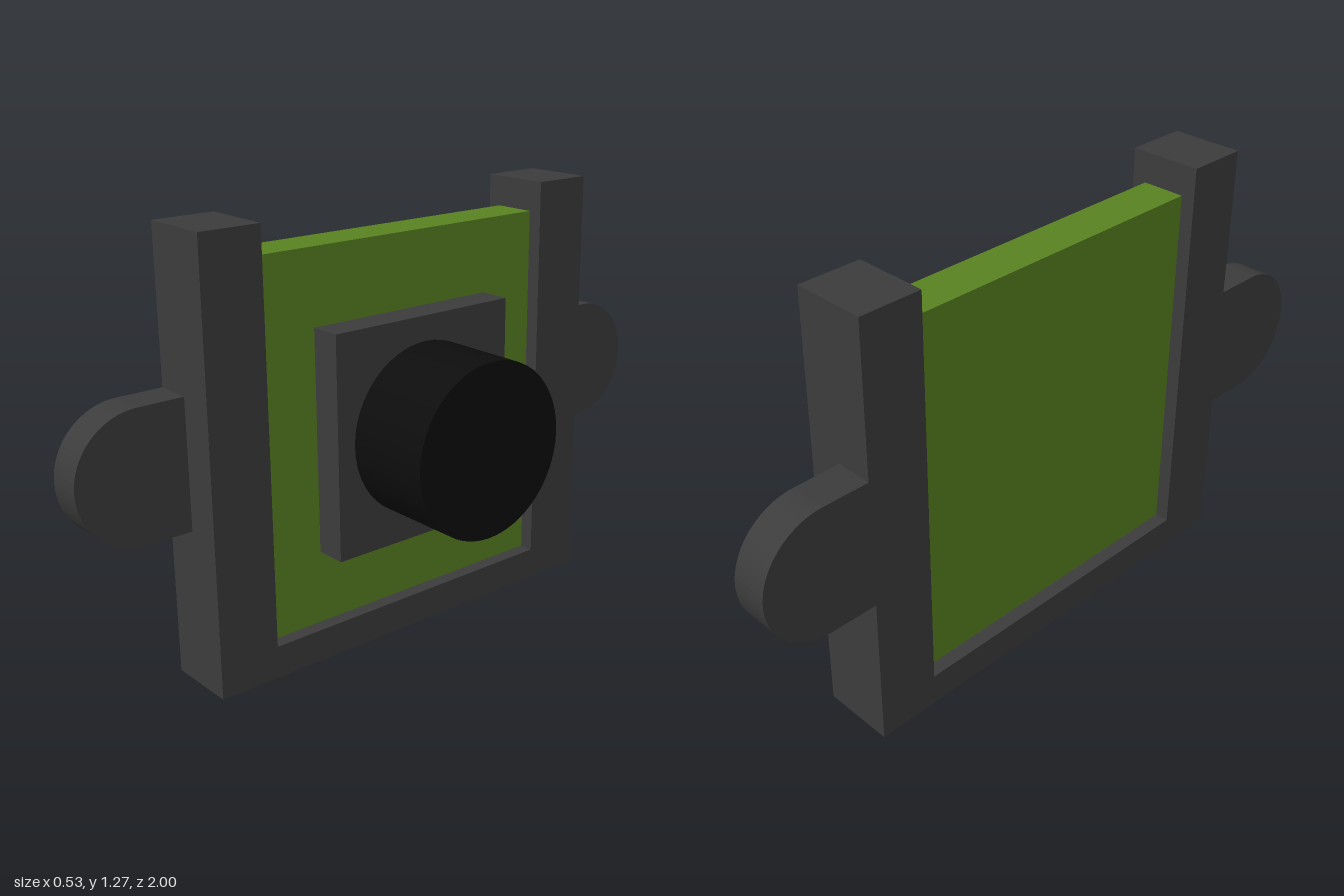
import * as THREE from 'three';

const mat = (color) => new THREE.MeshStandardMaterial({ color });

// Extrude a (z, y) outline along x, from x0 to x1
function slab(shape, x0, x1) {
  const geo = new THREE.ExtrudeGeometry(shape, { depth: x1 - x0, bevelEnabled: false, curveSegments: 20 });
  return geo.rotateY(Math.PI / 2).translate(x0, 0, 0);
}

export function createModel() {
  const model = new THREE.Group();
  model.name = 'cameraModule';
  const holderMat = mat(0x3c3c3c);
  const boardMat = mat(0x588220);
  const lensMat = mat(0x0d0d0d);

  const add = (name, geo, material) => {
    const mesh = new THREE.Mesh(geo, material);
    mesh.name = name;
    model.add(mesh);
    return mesh;
  };
  const box = (name, x0, x1, y0, y1, depth, material) =>
    add(name, new THREE.BoxGeometry(x1 - x0, y1 - y0, depth)
      .translate((x0 + x1) / 2, (y0 + y1) / 2, 0), material);

  // U-shaped holder, open at the top
  const outer = 0.677, inner = 0.494, height = 1.27, sill = 0.095;
  const u = new THREE.Shape([
    [-outer, 0], [outer, 0], [outer, height], [inner, height],
    [inner, sill], [-inner, sill], [-inner, height], [-outer, height],
  ].map(([a, b]) => new THREE.Vector2(a, b)));
  add('holderFrame', slab(u, -0.267, -0.053), holderMat);

  // Rounded mounting ears on both sides
  const r = 0.187, earY = 0.645;
  for (const [name, side] of [['frontEar', -1], ['backEar', 1]]) {
    const ear = new THREE.Shape();
    ear.moveTo(side * outer, earY - r);
    ear.lineTo(side * (1 - r), earY - r);
    ear.absarc(side * (1 - r), earY, r, -Math.PI / 2, Math.PI / 2, side < 0);
    ear.lineTo(side * outer, earY + r);
    add(name, slab(ear, -0.267, -0.16), holderMat);
  }

  // Circuit board held between the posts
  box('circuitBoard', -0.225, -0.096, sill, 1.18, inner * 2, boardMat);

  // Square lens mount and round lens barrel
  box('lensMount', -0.096, -0.002, 0.312, 0.962, 0.617, holderMat);
  const lens = new THREE.CylinderGeometry(0.252, 0.252, 0.269, 48)
    .rotateZ(-Math.PI / 2).translate(0.1325, 0.637, 0);
  add('lensBarrel', lens, lensMat);

  return model;
}
